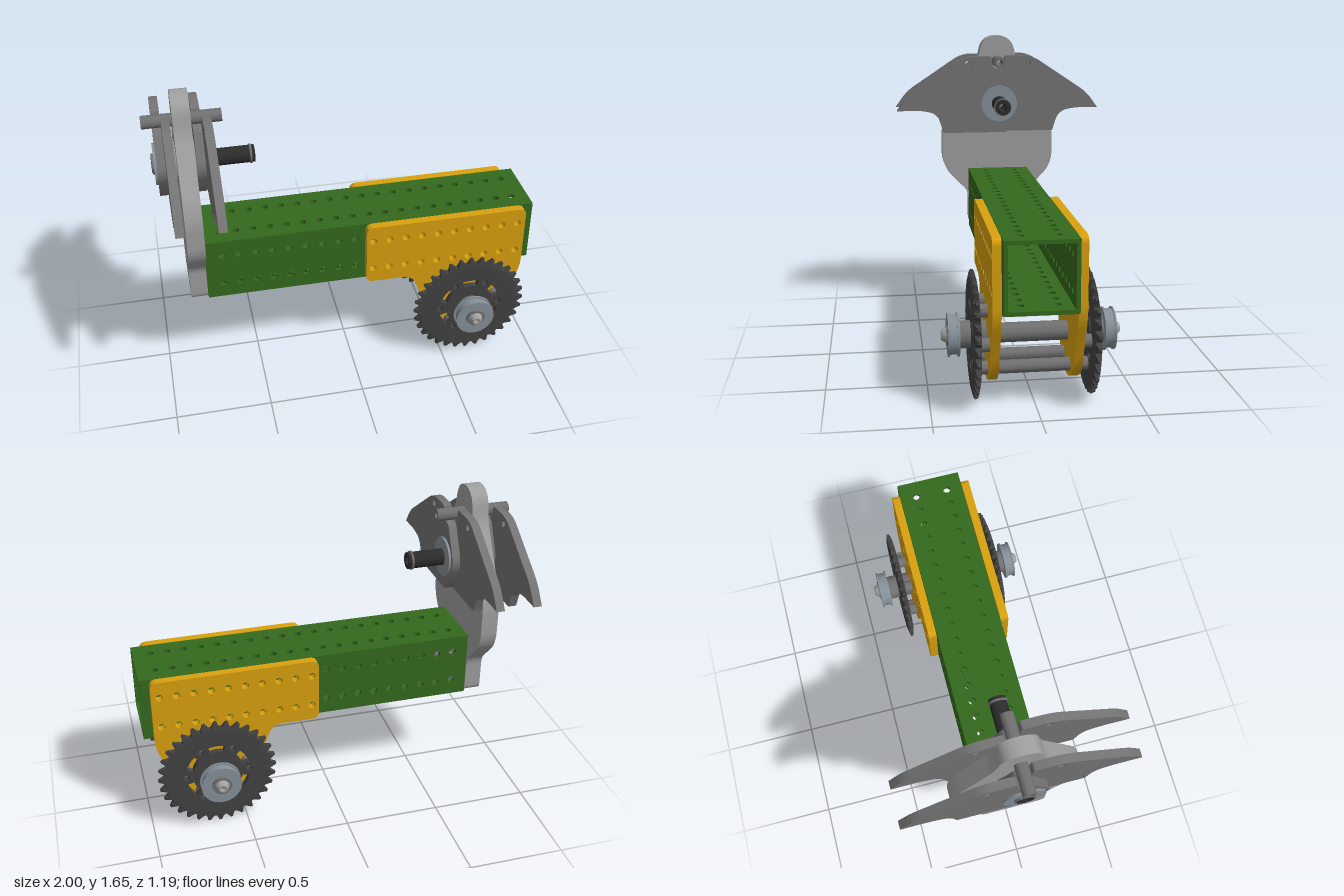
import * as THREE from 'three';
import { toCreasedNormals } from 'three/addons/utils/BufferGeometryUtils.js';

const GREEN = 0x35691d, YELLOW = 0xd9a10f, DARK = 0x424242, CLAW = 0x757575,
  PLATE = 0xa0a0a0, STEEL = 0x87919a, ROD = 0x707070, BLACK = 0x2c2c2c;
const AX = 0.645, AY = 0.312;   // wheel axle
const PY = 1.26;                // claw axle height
const HOLE = 0.019;

const mats = {};
const mat = (c) => (mats[c] ??= new THREE.MeshStandardMaterial({ color: c }));

function circle(x, y, r, Type = THREE.Path) {
  const p = new Type();
  p.absarc(x, y, r, 0, Math.PI * 2, false);
  return p;
}

// Closed polygon of [x, y, cornerRadius] with softened corners
function rounded(pts, Type = THREE.Shape) {
  const p = new Type();
  pts.forEach(([x, y, r = 0], i) => {
    const c = new THREE.Vector2(x, y);
    const toward = (q) => {
      const d = new THREE.Vector2(q[0], q[1]).sub(c);
      return d.setLength(Math.min(r, d.length() * 0.5)).add(c);
    };
    const a = toward(pts[(i + pts.length - 1) % pts.length]);
    const b = toward(pts[(i + 1) % pts.length]);
    if (i) p.lineTo(a.x, a.y); else p.moveTo(a.x, a.y);
    if (r) p.quadraticCurveTo(x, y, b.x, b.y);
  });
  p.closePath();
  return p;
}

// Extrude along an axis from a to b; shapes are drawn in (x,y), (z,y) or (x,z)
function slab(parent, name, shape, axis, a, b, color, warp, segs = 10) {
  let g = new THREE.ExtrudeGeometry(shape, { depth: b - a, bevelEnabled: false, curveSegments: segs });
  if (warp) warp(g.attributes.position, b - a);
  if (axis === 'x') g.rotateY(-Math.PI / 2).translate(b, 0, 0);
  else if (axis === 'y') g.rotateX(Math.PI / 2).translate(0, b, 0);
  else g.translate(0, 0, a);
  g = toCreasedNormals(g, 0.6);
  const m = new THREE.Mesh(g, mat(color));
  m.name = name;
  parent.add(m);
  return m;
}

// Round bar or ring between a and b on an axis
function disc(parent, name, u, v, r, axis, a, b, color, bore = 0) {
  const s = circle(u, v, r, THREE.Shape);
  if (bore) s.holes.push(circle(u, v, bore));
  return slab(parent, name, s, axis, Math.min(a, b), Math.max(a, b), color, null, 16);
}

function group(parent, name) {
  const g = new THREE.Group();
  g.name = name;
  parent.add(g);
  return g;
}

// Square tube with two rows of holes in every wall
function buildBeam(root) {
  const beam = group(root, 'beam');
  const wall = (w, c) => {
    const s = rounded([[-0.76, c - w], [1, c - w], [1, c + w], [-0.76, c + w]]);
    for (let i = 0; i < 19; i++)
      for (const d of [-0.0875, 0.0875]) s.holes.push(circle(-0.676 + 0.088 * i, c + d, HOLE));
    return s;
  };
  for (const [a, b] of [[0.155, 0.175], [-0.175, -0.155]]) {
    slab(beam, 'beamSide', wall(0.175, 0.685), 'z', a, b, GREEN);
    slab(beam, a > 0 ? 'beamTop' : 'beamBottom', wall(0.155, 0), 'y', 0.685 + a, 0.685 + b, GREEN);
  }
  // Ribbed plug closing the tube end
  const sq = (h, r) => rounded([[-h, 0.685 - h, r], [h, 0.685 - h, r], [h, 0.685 + h, r], [-h, 0.685 + h, r]]);
  const drill = (s) => {
    s.holes.push(circle(0, 0.685, 0.016));
    for (const z of [-0.0875, 0.0875])
      for (const y of [-0.0875, 0.0875]) s.holes.push(circle(z, 0.685 + y, HOLE));
    return s;
  };
  const ribs = drill(sq(0.14, 0.02));
  for (let k = 0; k < 4; k++) {
    const c = Math.cos(k * Math.PI / 2), n = Math.sin(k * Math.PI / 2);
    const tri = [[0.03, 0, 0.015], [0.125, -0.07, 0.025], [0.125, 0.07, 0.025]];
    ribs.holes.push(rounded(tri.map(([x, y, r]) => [x * c - y * n, 0.685 + x * n + y * c, r]), THREE.Path));
  }
  slab(beam, 'plugRibs', ribs, 'x', -0.74, -0.7, PLATE);
  slab(beam, 'plugBase', drill(sq(0.154, 0.01)), 'x', -0.76, -0.74, PLATE);
}

// Sprocket: slotted disc plus a toothed rim that thins toward the tips
function buildSprocket(parent, z0, z1) {
  const sprocket = group(parent, 'sprocket');
  const web = circle(AX, AY, 0.25, THREE.Shape);
  for (let k = 0; k < 6; k++) {
    const t = k * Math.PI / 3, m = t + Math.PI / 6, slot = new THREE.Path();
    web.holes.push(circle(AX + 0.165 * Math.cos(t), AY + 0.165 * Math.sin(t), 0.016));
    slot.absarc(AX, AY, 0.17, m - 0.27, m + 0.27, false);
    slot.absarc(AX, AY, 0.132, m + 0.27, m - 0.27, true);
    slot.closePath();
    web.holes.push(slot);
  }
  slab(sprocket, 'sprocketWeb', web, 'z', z0, z1, DARK, null, 20);
  const N = 32, pts = [];
  for (let i = 0; i < N; i++)
    for (const [f, r] of [[-0.1, 0.311], [0.1, 0.311], [0.22, 0.294], [0.36, 0.278], [0.5, 0.273], [0.64, 0.278], [0.78, 0.294]]) {
      const t = (i + f) / N * Math.PI * 2 - Math.PI / 2;
      pts.push([AX + r * Math.cos(t), AY + r * Math.sin(t)]);
    }
  const rim = rounded(pts);
  rim.holes.push(circle(AX, AY, 0.25));
  slab(sprocket, 'sprocketTeeth', rim, 'z', z0, z1, DARK, (p, d) => {
    for (let i = 0; i < p.count; i++) {
      const r = Math.hypot(p.getX(i) - AX, p.getY(i) - AY);
      const k = 1 - 0.6 * THREE.MathUtils.smoothstep(r, 0.27, 0.312);
      p.setZ(i, d / 2 + (p.getZ(i) - d / 2) * k);
    }
  }, 24);
}

function buildDrive(root) {
  const drive = group(root, 'drive');
  // Hanging side plate outline with a round lower end
  const outline = [[0.08, 0.86, 0.04], [0.08, 0.51, 0.04], [0.335, 0.51, 0.06]];
  for (let d = 195; d <= 350; d += 15.5) {
    const t = d * Math.PI / 180;
    outline.push([AX + 0.223 * Math.cos(t), AY + 0.223 * Math.sin(t)]);
  }
  outline.push([0.95, 0.47, 0.06], [0.95, 0.86, 0.04]);
  for (const s of [1, -1]) {
    const side = group(drive, s > 0 ? 'frontDrive' : 'backDrive');
    const plate = rounded(outline);
    for (let i = 9; i < 19; i++)
      for (const y of [0.5975, 0.7725]) plate.holes.push(circle(-0.676 + 0.088 * i, y, HOLE));
    slab(side, 'sidePlate', plate, 'z', s > 0 ? 0.177 : -0.22, s > 0 ? 0.22 : -0.177, YELLOW);
    buildSprocket(side, s > 0 ? 0.264 : -0.296, s > 0 ? 0.296 : -0.264);
    for (let k = 0; k < 6; k++) {
      const t = k * Math.PI / 3;
      disc(side, 'spacer', AX + 0.165 * Math.cos(t), AY + 0.165 * Math.sin(t), 0.033, 'z', s * 0.22, s * 0.264, ROD);
    }
    disc(side, 'hub', AX, AY, 0.066, 'z', s * 0.22, s * 0.35, ROD);
    disc(side, 'bearingFlange', AX, AY, 0.106, 'z', s * 0.35, s * 0.36, STEEL, 0.04);
    disc(side, 'bearingBody', AX, AY, 0.096, 'z', s * 0.36, s * 0.398, STEEL, 0.04);
    disc(side, 'bearingLip', AX, AY, 0.105, 'z', s * 0.398, s * 0.406, STEEL, 0.055);
    disc(side, 'axleEnd', AX, AY, 0.05, 'z', s * 0.35, s * 0.412, ROD);
    // Domed bolt head with a socket
    const head = new THREE.LatheGeometry([[0.014, -0.012], [0.014, 0.025], [0.022, 0.025], [0.033, 0.012], [0.037, 0]]
      .reverse().map(([x, y]) => new THREE.Vector2(x, y)), 20);
    const bolt = new THREE.Mesh(toCreasedNormals(head, 0.5), new THREE.MeshStandardMaterial({ color: PLATE, side: THREE.DoubleSide }));
    bolt.rotation.x = s * Math.PI / 2;
    bolt.position.set(AX, AY, s * 0.412);
    bolt.name = 'boltHead';
    side.add(bolt);
  }
  // Shaft and cross rods between the side plates
  disc(drive, 'shaft', AX, AY, 0.048, 'z', -0.22, 0.22, ROD);
  for (const k of [1, 2, 4, 5]) {
    const t = k * Math.PI / 3;
    disc(drive, 'crossRod', AX + 0.165 * Math.cos(t), AY + 0.165 * Math.sin(t), 0.033, 'z', -0.2, 0.2, ROD);
  }
}

function buildClaw(root) {
  const claw = group(root, 'claw');
  // Upright plate
  const half = [[0.175, 0.51, 0.04], [0.175, 0.715, 0.04], [0.33, 0.875, 0.08], [0.33, 1.14, 0.1], [0.12, 1.48, 0.05], [0.085, 1.648, 0.085]];
  const upright = rounded([...half, ...half.map(([z, y, r]) => [-z, y, r]).reverse()]);
  upright.holes.push(circle(0, 0.685, 0.016));
  for (const z of [-0.0875, 0.0875])
    for (const y of [0.5975, 0.7725]) upright.holes.push(circle(z, y, HOLE));
  slab(claw, 'uprightPlate', upright, 'x', -0.85, -0.762, PLATE);

  // Overlapping hooked plates, one pair on each face of the upright
  const wing = [[0.04, 1.535, 0.02], [0.2, 1.535, 0.06], [0.53, 1.315, 0.05], [0.597, 1.222], [0.47, 1.225, 0.04],
    [0.36, 1.205, 0.09], [0.325, 1.09], [-0.045, 1.09, 0.02], [-0.135, 1.265, 0.06], [-0.035, 1.455, 0.02], [0.04, 1.465, 0.035]];
  for (const [x, s] of [[-0.948, -1], [-0.905, 1], [-0.753, -1], [-0.708, 1]]) {
    const shape = rounded(wing.map(([z, y, r]) => [s * z, y, r]));
    shape.holes.push(circle(s * 0.178, 1.492, 0.018));
    slab(claw, 'hookPlate', shape, 'x', x, x + 0.043, CLAW);
  }
  // Stop pin, axle and bearings
  disc(claw, 'stopPin', 0, 1.5, 0.033, 'x', -1, -0.608, ROD, 0.018);
  disc(claw, 'axle', 0, PY, 0.044, 'x', -0.972, -0.458, BLACK, 0.024);
  disc(claw, 'axleClip', 0, PY, 0.05, 'x', -0.484, -0.474, ROD, 0.04);
  disc(claw, 'axleCollar', 0, PY, 0.052, 'x', -0.97, -0.958, ROD, 0.04);
  disc(claw, 'innerSpacer', 0, PY, 0.066, 'x', -0.865, -0.75, STEEL, 0.04);
  for (const x of [-0.96, -0.862, -0.768, -0.667])
    disc(claw, 'bearingFlange', 0, PY, 0.105, 'x', x, x + 0.014, STEEL, 0.043);
}

export function createModel() {
  const root = new THREE.Group();
  root.name = 'clawArm';
  buildBeam(root);
  buildDrive(root);
  buildClaw(root);
  return root;
}
